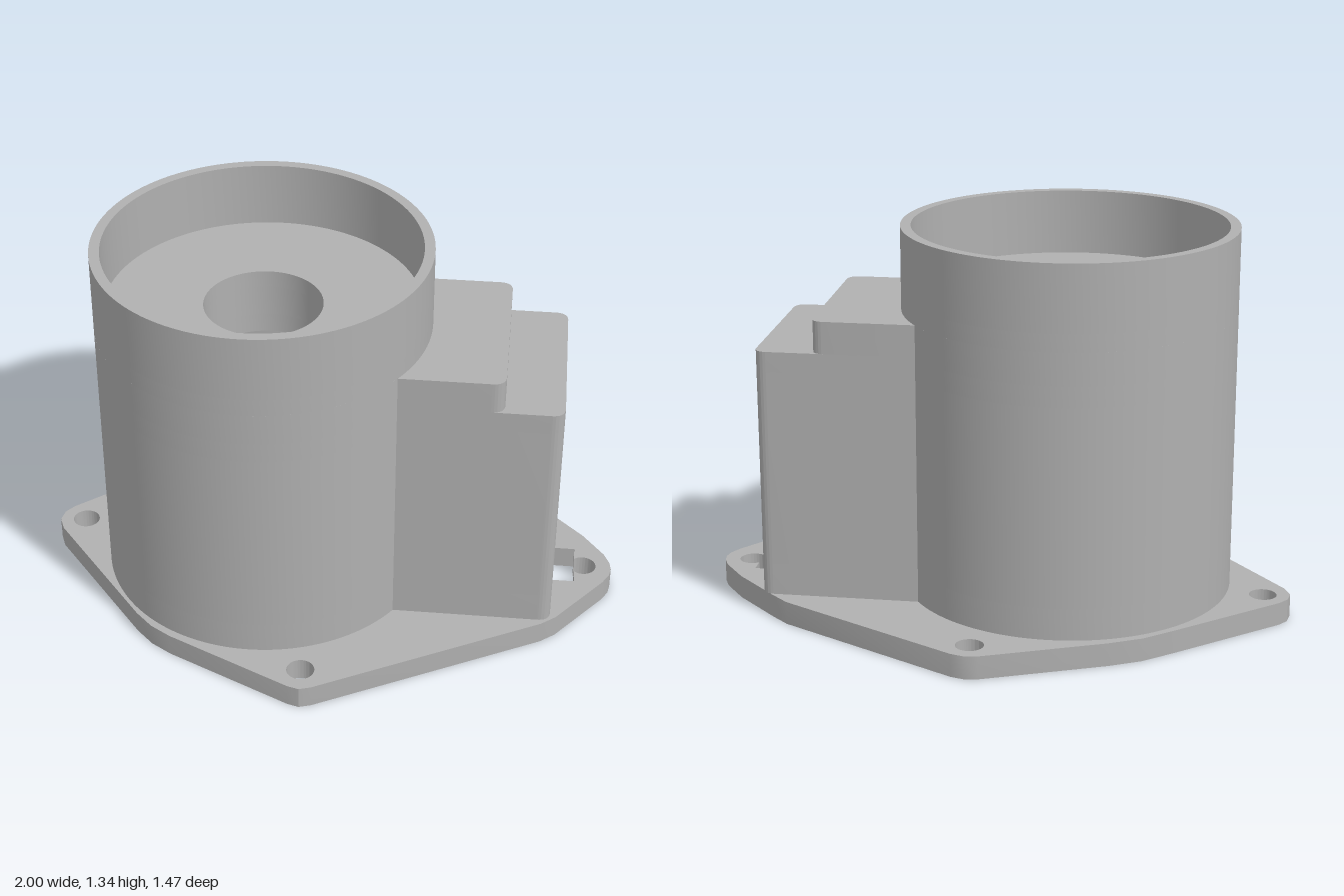
import * as THREE from 'three';
import { toCreasedNormals } from 'three/addons/utils/BufferGeometryUtils.js';

const CX = -0.225, CZ = -0.01;       // axis of the round housing
const R = 0.565, RIM = 0.53, BORE = 0.2;
const POCKET = { x0: -0.68, x1: 0.74, z0: -0.26, z1: 0.23 };
const SLOT = { z0: -0.1, z1: 0.08 };

export function createModel() {
  const model = new THREE.Group();
  model.name = 'sensorHousing';
  const gray = new THREE.MeshStandardMaterial({ color: 0xb0b0b0 });
  gray.name = 'plain gray';

  // Extrudes a plan shape (x, z) between two heights
  function slab(name, shape, y0, y1) {
    let geo = new THREE.ExtrudeGeometry(shape, { depth: y1 - y0, bevelEnabled: false, curveSegments: 64 });
    geo.rotateX(Math.PI / 2);
    geo.translate(0, y1, 0);
    geo = toCreasedNormals(geo, 0.45);
    const mesh = new THREE.Mesh(geo, gray);
    mesh.name = name;
    model.add(mesh);
  }

  const circle = (x, z, r, Type = THREE.Path) => new Type().absarc(x, z, r, 0, Math.PI * 2, false);

  // Mounting plate with rounded corners
  const outline = [
    [1, 0], [0.993, 0.035], [0.97, 0.075], [0.81, 0.28], [0.76, 0.32], [0.01, 0.72], [-0.03, 0.733],
    [-0.07, 0.722], [-0.5, 0.515], [-0.57, 0.47], [-0.63, 0.41], [-0.98, -0.03], [-1, -0.08],
    [-0.992, -0.125], [-0.965, -0.16], [-0.63, -0.44], [-0.53, -0.52], [-0.42, -0.575],
    [-0.02, -0.734], [0.025, -0.74], [0.07, -0.727], [0.69, -0.385], [0.75, -0.33],
    [0.9, -0.18], [0.975, -0.08], [0.995, -0.035],
  ];
  const plate = new THREE.Shape(outline.map(([x, z]) => new THREE.Vector2(x, z)));
  for (const [x, z] of [[0.02, -0.65], [-0.907, -0.093], [-0.035, 0.637]]) {
    plate.holes.push(circle(x, z, 0.047));
  }

  // Underside opening: pocket, half-round recess and cable slot with its screw hole
  const opening = new THREE.Path();
  const recess = 0.47, a = Math.asin((POCKET.z1 - CZ) / recess);
  opening.moveTo(POCKET.x1, POCKET.z0);
  opening.lineTo(POCKET.x0, POCKET.z0);
  opening.lineTo(POCKET.x0, POCKET.z1);
  opening.absarc(CX, CZ, recess, Math.PI - a, a, true);
  opening.lineTo(POCKET.x1, POCKET.z1);
  opening.lineTo(POCKET.x1, SLOT.z1);
  opening.lineTo(0.87, SLOT.z1);
  opening.absarc(0.9, CZ, 0.046, 2.3, -2.3, true);
  opening.lineTo(0.87, SLOT.z0);
  opening.lineTo(POCKET.x1, SLOT.z0);
  opening.closePath();
  plate.holes.push(opening);
  slab('mountingPlate', plate, 0, 0.08);

  // Plan of the round housing joined to the side box, optionally cut by the slot and pocket
  function bodyPlan(xr, slotted = false) {
    const s = new THREE.Shape(), c = 0.045, z0 = -0.32, z1 = 0.3;
    const t = Math.asin((z1 - CZ) / R);
    s.moveTo(xr, SLOT.z1);
    s.lineTo(xr, z1 - c);
    s.quadraticCurveTo(xr, z1, xr - c, z1);
    s.absarc(CX, CZ, R, t, Math.PI * 2 - t, false);
    s.lineTo(xr - c, z0);
    s.quadraticCurveTo(xr, z0, xr, z0 + c);
    s.lineTo(xr, SLOT.z0);
    if (slotted) {
      const { x0, x1, z0: p0, z1: p1 } = POCKET;
      for (const [x, z] of [[x1, SLOT.z0], [x1, p0], [x0, p0], [x0, p1], [x1, p1], [x1, SLOT.z1]]) s.lineTo(x, z);
    }
    s.closePath();
    return s;
  }

  // Walls around the cable slot
  slab('slottedWalls', bodyPlan(0.79, true), 0.08, 0.19);

  // Walls around the pocket
  const walls = bodyPlan(0.79);
  const { x0, x1, z0, z1 } = POCKET;
  walls.holes.push(new THREE.Path([[x0, z0], [x1, z0], [x1, z1], [x0, z1]].map(p => new THREE.Vector2(...p))));
  slab('pocketWalls', walls, 0.19, 0.87);

  // Pocket ceiling, then the set-back step of the side box
  for (const [name, xr, y0, y1] of [['pocketCeiling', 0.79, 0.87, 0.94], ['boxStep', 0.595, 0.94, 1.05]]) {
    const s = bodyPlan(xr);
    s.holes.push(circle(CX, CZ, BORE));
    slab(name, s, y0, y1);
  }

  // Cup floor with the centre bore, and the thin rim above it
  for (const [name, r, y0, y1] of [['cupFloor', BORE, 1.05, 1.11], ['cupRim', RIM, 1.11, 1.335]]) {
    const s = circle(CX, CZ, R, THREE.Shape);
    s.holes.push(circle(CX, CZ, r));
    slab(name, s, y0, y1);
  }

  return model;
}
